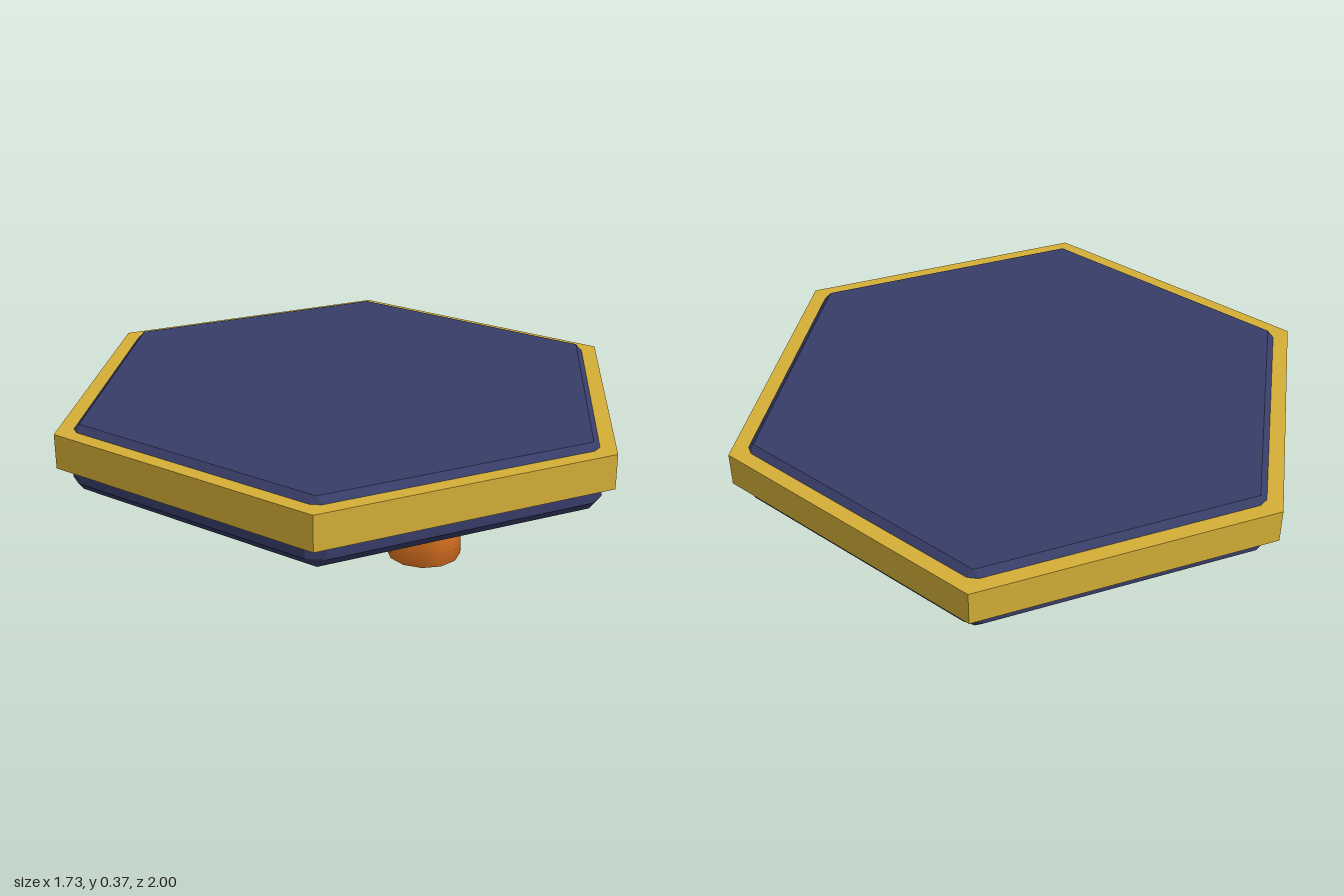
import * as THREE from 'three';
import { mergeVertices } from 'three/addons/utils/BufferGeometryUtils.js';
import { ConvexGeometry } from 'three/addons/geometries/ConvexGeometry.js';

const RADIUS = 0.96; // hexagon corner radius of the slab before bevelling
const BEVEL = 0.036;
const BOTTOM = 0.15, TOP = 0.372;

// Hexagonal slab with every edge bevelled, as the hull of its corner points
function slabGeometry() {
  const points = [];
  const corner = (i, r) => new THREE.Vector3(Math.sin(i * Math.PI / 3) * r, 0, Math.cos(i * Math.PI / 3) * r);
  const capRadius = RADIUS - BEVEL / Math.cos(Math.PI / 6);
  for (let i = 0; i < 6; i++) {
    for (const y of [BOTTOM, TOP]) points.push(corner(i, capRadius).setY(y));
    for (const side of [-1, 1]) {
      const p = corner(i, RADIUS).lerp(corner(i + side, RADIUS), BEVEL / RADIUS);
      for (const y of [BOTTOM + BEVEL, TOP - BEVEL]) points.push(p.clone().setY(y));
    }
  }
  return new ConvexGeometry(points);
}

// Short cylinder shaded smoothly across its rims
function footGeometry(radius, height) {
  const g = new THREE.CylinderGeometry(radius, radius, height, 12);
  g.deleteAttribute('normal');
  g.deleteAttribute('uv');
  const merged = mergeVertices(g);
  merged.computeVertexNormals();
  return merged;
}

export function createModel() {
  const navy = new THREE.MeshStandardMaterial({ color: 0x383d68 });
  navy.name = 'navy';
  const gold = new THREE.MeshStandardMaterial({ color: 0xd4af37 });
  gold.name = 'gold';
  const orange = new THREE.MeshStandardMaterial({ color: 0xe67822 });
  orange.name = 'orange';

  const model = new THREE.Group();
  model.name = 'hexagonalPlatform';
  const add = (name, geometry, material, x, y, z) => {
    const mesh = new THREE.Mesh(geometry, material);
    mesh.name = name;
    mesh.position.set(x, y, z);
    model.add(mesh);
    return mesh;
  };

  add('slab', slabGeometry(), navy, 0, 0, 0);

  // Gold band around the slab
  const band = new THREE.CylinderGeometry(1, 1, 0.115, 6).toNonIndexed();
  band.computeVertexNormals();
  add('rimBand', band, gold, 0, 0.294, 0);

  // Three feet, evenly spaced
  const foot = footGeometry(0.115, 0.16);
  for (let i = 0; i < 3; i++) {
    const a = i * Math.PI * 2 / 3;
    add('foot' + (i + 1), foot, orange, Math.cos(a) * 0.577, 0.08, Math.sin(a) * 0.577);
  }
  return model;
}
